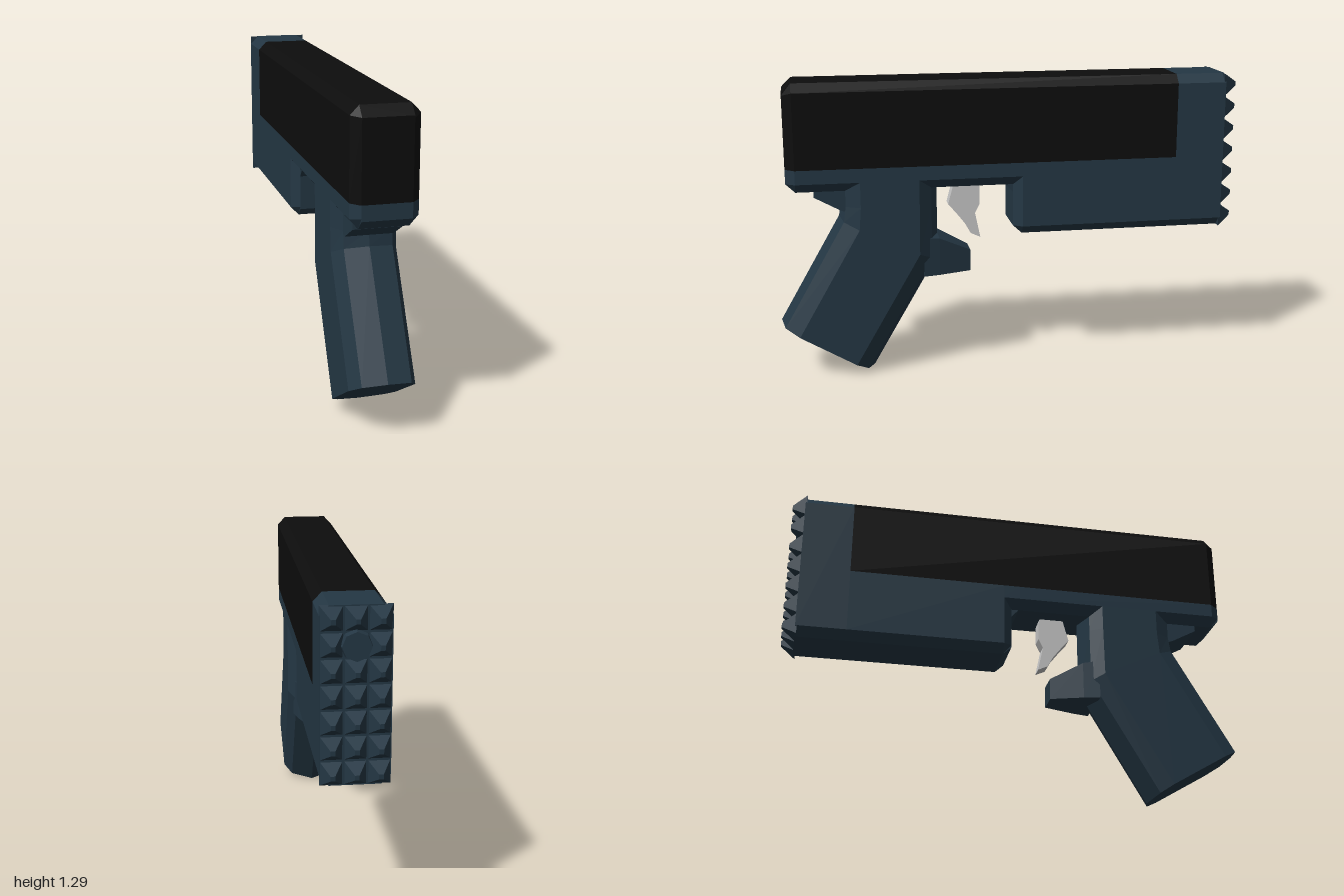
import * as THREE from 'three';

const W = 0.133, IN = 0.098; // half width, half width inside the chamfer

// Joins closed rings of points into a faceted solid with capped ends.
function loft(rings) {
  const tris = [];
  const n = rings[0].length;
  for (let i = 0; i < rings.length - 1; i++) {
    for (let j = 0; j < n; j++) {
      const k = (j + 1) % n, a = rings[i], b = rings[i + 1];
      tris.push([a[j], a[k], b[k]], [a[j], b[k], b[j]]);
    }
  }
  const first = rings[0], last = rings[rings.length - 1];
  for (let j = 1; j < n - 1; j++) {
    tris.push([first[0], first[j + 1], first[j]], [last[0], last[j], last[j + 1]]);
  }
  // Turn every face outward, whichever way the rings run
  let volume = 0;
  const v = tris.map(t => t.map(p => new THREE.Vector3(...p)));
  v.forEach(([a, b, c]) => { volume += a.dot(b.clone().cross(c)); });
  const pts = v.flatMap(([a, b, c]) => (volume < 0 ? [a, c, b] : [a, b, c]));
  const g = new THREE.BufferGeometry().setFromPoints(pts);
  g.computeVertexNormals();
  return g;
}

// Chamfered cross-section at depth z; cb and ct are bottom and top chamfer heights.
function section(z, w, y0, y1, cb, ct) {
  const bx = cb ? Math.min(w, IN) : w, tx = ct ? Math.min(w, IN) : w;
  return [[bx, y0, z], [w, y0 + cb, z], [w, y1 - ct, z], [tx, y1, z],
    [-tx, y1, z], [-w, y1 - ct, z], [-w, y0 + cb, z], [-bx, y0, z]];
}

// Ten-sided grip ring between a rear and a front [z, y] point.
function gripRing(rear, front) {
  const half = [[0, 0], [0.04, IN], [0.19, W], [0.79, W], [0.92, IN], [1, 0]];
  const at = ([t, x], s) => [s * x, rear[1] + (front[1] - rear[1]) * t, rear[0] + (front[0] - rear[0]) * t];
  return [...half.map(h => at(h, 1)), ...half.slice(1, 5).reverse().map(h => at(h, -1))];
}

// Side outline of [z, y] points, extruded across x.
function plate(outline, width) {
  const shape = new THREE.Shape(outline.map(p => new THREE.Vector2(...p)));
  const g = new THREE.ExtrudeGeometry(shape, { depth: width, bevelEnabled: false });
  return g.rotateY(-Math.PI / 2).translate(width / 2, 0, 0);
}

export function createModel() {
  const model = new THREE.Group();
  const material = (name, color) => {
    const m = new THREE.MeshStandardMaterial({ color });
    m.name = name;
    return m;
  };
  const blue = material('dark blue', 0x243744);
  const black = material('black', 0x0d0d0d);
  const grey = material('light grey', 0xc8c8c8);
  const add = (name, geometry, mat, parent = model) => {
    const mesh = new THREE.Mesh(geometry, mat);
    mesh.name = name;
    parent.add(mesh);
    return mesh;
  };

  // Upper slide, chamfered along the top and around the rear
  add('slide', loft([
    section(0.955, IN, 0.93, 1.25, 0, 0.01),
    section(0.915, W, 0.93, 1.29, 0, 0.037),
    section(-0.73, W, 0.93, 1.29, 0, 0.037),
  ]), black);

  // Frame rail under the slide
  add('rail', loft([
    section(0.955, IN, 0.868, 0.93, 0.01, 0),
    section(0.915, W, 0.83, 0.93, 0.04, 0),
    section(0.02, W, 0.83, 0.93, 0.04, 0),
    section(-0.06, W, 0.83, 0.93, 0.04, 0),
  ]), blue);

  // Deep front block with chamfered rear and bottom
  add('frontBlock', loft([
    section(0.02, IN, 0.83, 0.93, 0.01, 0),
    section(-0.012, IN, 0.795, 0.93, 0.01, 0),
    section(-0.012, IN, 0.645, 0.93, 0.01, 0),
    section(-0.05, W, 0.61, 0.93, 0.037, 0),
    section(-0.73, W, 0.61, 0.93, 0.037, 0),
  ]), blue);

  // Full-height head
  add('head', loft([
    section(-0.73, W, 0.61, 1.29, 0.037, 0.037),
    section(-0.945, W, 0.61, 1.29, 0.037, 0.037),
  ]), blue);

  // Spiked face: three columns of blunt pyramids around the muzzle disc
  const spikes = new THREE.Group();
  spikes.name = 'spikedFace';
  model.add(spikes);
  const pitchX = 2 * W / 3, pitchY = 0.68 / 7;
  const spike = new THREE.CylinderGeometry(0.012, pitchX / Math.SQRT2, 0.062, 4).toNonIndexed();
  spike.rotateY(Math.PI / 4).rotateX(-Math.PI / 2).scale(1, pitchY / pitchX, 1);
  spike.computeVertexNormals();
  for (let row = 0; row < 7; row++) {
    for (let col = -1; col <= 1; col++) {
      if (row === 5 && col === 0) continue;
      add('spike', spike, blue, spikes)
        .position.set(col * pitchX, 0.61 + (row + 0.5) * pitchY, -0.969);
    }
  }
  const disc = new THREE.CylinderGeometry(0.055, 0.06, 0.04, 8).toNonIndexed();
  disc.rotateX(-Math.PI / 2);
  disc.computeVertexNormals();
  add('muzzleDisc', disc, blue).position.set(0, 0.61 + 5.5 * pitchY, -0.955);

  // Slanted grip, bending upright into the frame
  add('grip', loft([
    gripRing([1.0, 0.24], [0.6, 0.003]),
    gripRing([0.735, 0.7], [0.31, 0.5]),
    gripRing([0.725, 0.76], [0.31, 0.76]),
    gripRing([0.725, 0.925], [0.31, 0.925]),
  ]), blue);

  // Rear overhang above the grip
  add('gripTang', plate([[0.84, 0.835], [0.84, 0.805], [0.73, 0.745], [0.6, 0.7], [0.6, 0.835]], 2 * IN), blue);

  // Tapered stub in front of the grip
  const stubRing = (z, w, y0, y1) => [[w, y0, z], [w, y1, z], [-w, y1, z], [-w, y0, z]];
  add('guardStub', loft([
    stubRing(0.38, 0.11, 0.435, 0.61),
    stubRing(0.31, 0.095, 0.435, 0.6),
    stubRing(0.17, 0.05, 0.435, 0.53),
  ]), blue);

  // Trigger
  add('trigger', plate([[0.235, 0.84], [0.263, 0.735], [0.225, 0.69], [0.19, 0.645], [0.165, 0.6],
    [0.122, 0.58], [0.145, 0.69], [0.125, 0.73], [0.125, 0.81], [0.135, 0.84]], 0.06), grey);

  return model;
}
